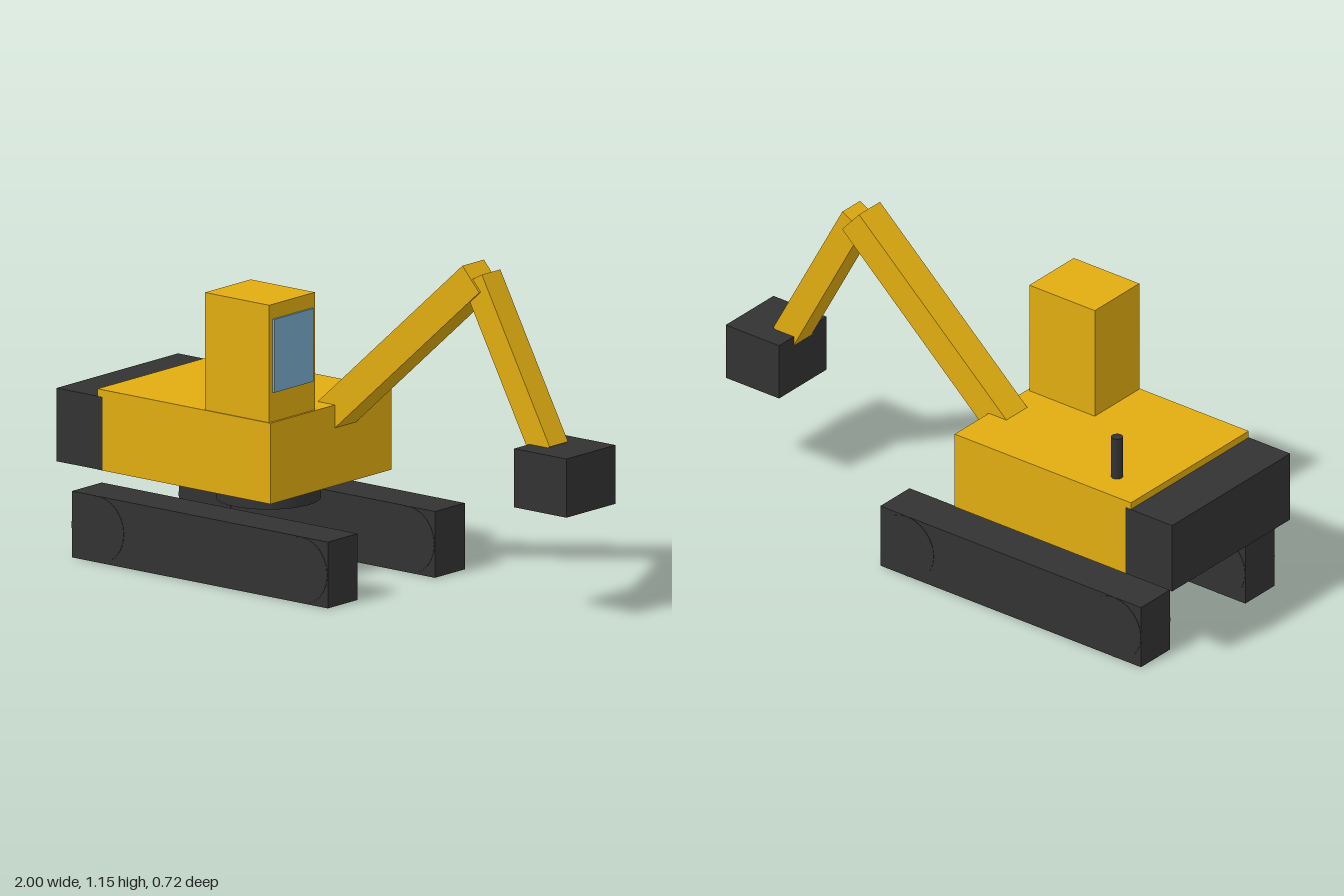
import * as THREE from 'three';

const paint = new THREE.MeshStandardMaterial({ color: 0xe0ac10 });
paint.name = 'yellow paint';
const dark = new THREE.MeshStandardMaterial({ color: 0x323232 });
dark.name = 'dark steel';
const glass = new THREE.MeshStandardMaterial({ color: 0x76aac8 });
glass.name = 'window glass';

export function createModel() {
  const model = new THREE.Group();
  model.name = 'excavator';

  const add = (name, geometry, material, x, y, z) => {
    const mesh = new THREE.Mesh(geometry, material);
    mesh.name = name;
    mesh.position.set(x, y, z);
    model.add(mesh);
    return mesh;
  };

  // Box given by its lower and upper limits on each axis
  const box = (name, material, [x0, x1], [y0, y1], [z0, z1]) =>
    add(name, new THREE.BoxGeometry(x1 - x0, y1 - y0, z1 - z0), material,
      (x0 + x1) / 2, (y0 + y1) / 2, (z0 + z1) / 2);

  // Square beam between two points in the xy plane
  const beam = (name, [x0, y0], [x1, y1], z, height, depth) => {
    const length = Math.hypot(x1 - x0, y1 - y0);
    const mesh = add(name, new THREE.BoxGeometry(length, height, depth), paint,
      (x0 + x1) / 2, (y0 + y1) / 2, z);
    mesh.rotation.z = Math.atan2(y1 - y0, x1 - x0);
  };

  // Tracks with a round wheel at each end
  for (const side of [1, -1]) {
    const name = side > 0 ? 'left' : 'right';
    const z = side * 0.279;
    add(name + 'Track', new THREE.BoxGeometry(1.115, 0.228, 0.156), dark, -0.342, 0.114, z);
    for (const x of [-0.786, 0.1]) {
      const wheel = add(name + 'TrackWheel', new THREE.CylinderGeometry(0.114, 0.114, 0.159, 24), dark, x, 0.114, z);
      wheel.rotation.x = Math.PI / 2;
    }
  }

  // Turntable and upper body
  add('turntable', new THREE.CylinderGeometry(0.176, 0.176, 0.078, 32), dark, -0.342, 0.267, 0);
  box('house', paint, [-0.823, -0.069], [0.306, 0.584], [-0.315, 0.315]);
  box('counterweight', dark, [-1, -0.8], [0.307, 0.559], [-0.316, 0.316]);
  add('exhaustPipe', new THREE.CylinderGeometry(0.02, 0.02, 0.16, 16), dark, -0.673, 0.656, -0.202);

  // Cab with its windscreen
  box('cab', paint, [-0.358, -0.078], [0.58, 0.988], [0.073, 0.311]);
  box('windscreen', glass, [-0.078, -0.0705], [0.685, 0.937], [0.09, 0.293]);

  // Digging arm
  beam('boom', [-0.147, 0.508], [0.523, 1.11], -0.076, 0.109, 0.112);
  beam('stick', [0.523, 1.108], [0.818, 0.562], -0.076, 0.095, 0.096);
  box('bucket', dark, [0.772, 1], [0.378, 0.58], [-0.203, 0.052]);

  return model;
}
